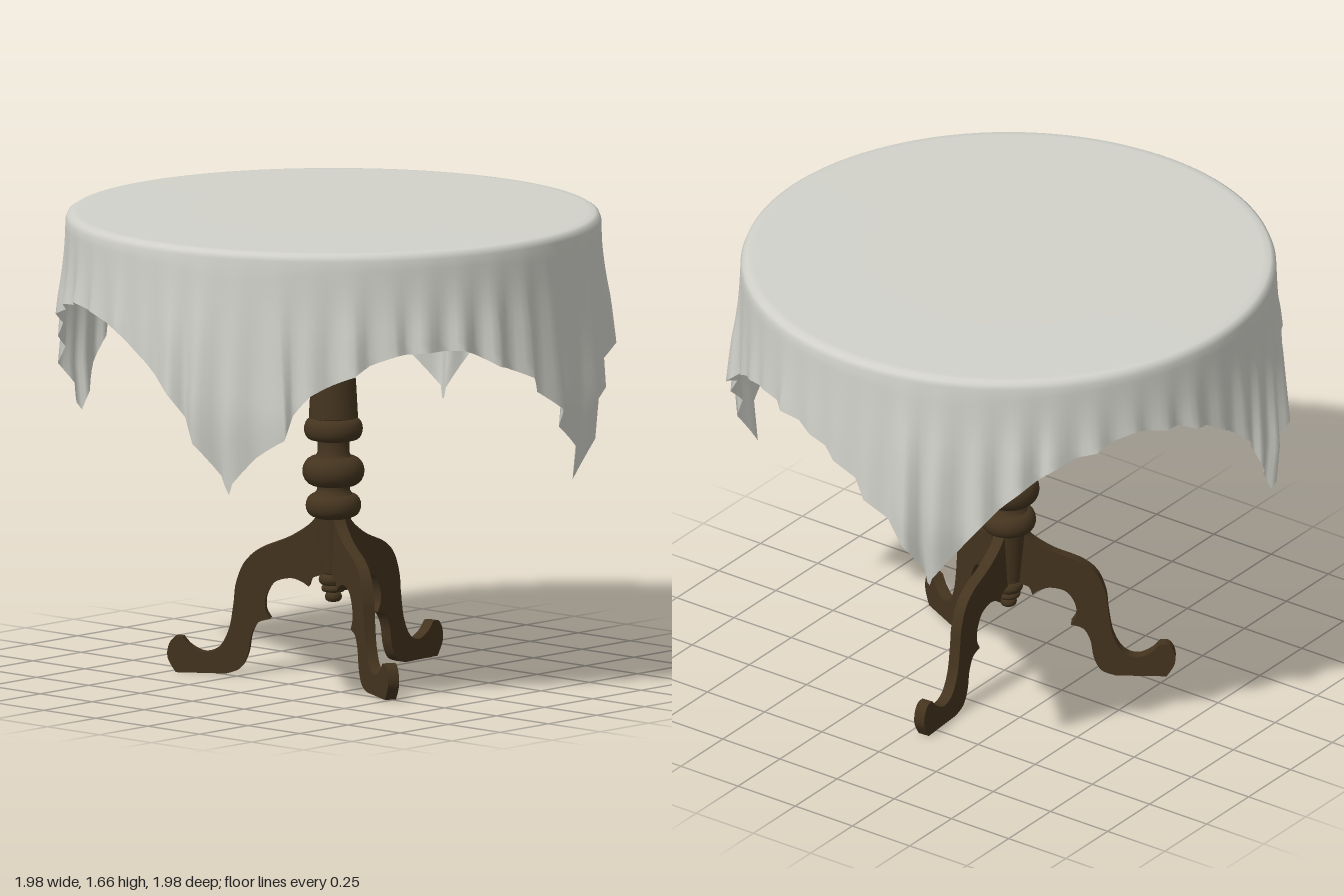
import * as THREE from 'three';
import { mergeVertices, toCreasedNormals } from 'three/addons/utils/BufferGeometryUtils.js';

const CX = -0.013, CZ = 0.005;   // axis of the table
const R = 0.945, TOP = 1.662;    // cloth radius and height
const rad = THREE.MathUtils.degToRad;

function seeded(seed) {
  return () => {
    seed = (seed * 16807) % 2147483647;
    return seed / 2147483647;
  };
}

// Corners of the square cloth: angle, distance from the axis laid flat, rise of the following edge
const corners = [[-18, 1.84, 0.025], [69.5, 1.83, 0.035], [159, 1.74, 0.03], [250, 1.78, 0], [342, 1.84, 0]]
  .map(([a, l, rise]) => [rad(a), l, rise]);

// How far the cloth hangs below the rim at an angle
function hang(a) {
  let k = 0;
  while (k < 3 && a > corners[k + 1][0]) k++;
  const [a0, l0, rise] = corners[k], [a1, l1] = corners[k + 1];
  const reach = l0 * l1 * Math.sin(a1 - a0) / (l0 * Math.sin(a - a0) + l1 * Math.sin(a1 - a));
  const t = (a - a0) / (a1 - a0);
  return reach - R - rise * Math.sin(Math.PI * t) ** 2;
}

function clothGeometry() {
  const pleats = 44, per = 6, cols = pleats * per, skirtRows = 10;
  const rnd = seeded(77);
  const pleat = Array.from({ length: pleats }, () => ({
    amp: 0.3 + 0.7 * rnd(), lean: rnd() - 0.5, dip: (rnd() - 0.5) * 0.03,
  }));
  const flat = [[0, TOP], [0.5, TOP], [0.9, TOP], [0.925, TOP - 0.002], [0.938, TOP - 0.01], [R, TOP - 0.028]];
  const rows = flat.length + skirtRows;
  const pos = [], index = [];
  for (let j = 0; j < rows; j++) {
    for (let i = 0; i < cols; i++) {
      let a = corners[0][0] + (i / cols) * Math.PI * 2;
      let r, y;
      if (j < flat.length) [r, y] = flat[j];
      else {
        // Sharp pleats that deepen towards the hem; the corner tips turn back in
        const p = pleat[Math.floor(i / per)], f = (i % per) / per;
        const bump = 1 - Math.abs(2 * f - 1);
        const v = (j - flat.length + 1) / skirtRows;
        const d = 0.028 + (hang(a) - 0.028 + p.dip * bump) * v;
        const e = Math.min(d, 0.6);
        r = R + e * (0.02 + 0.105 * p.amp * bump * Math.min(1, d / 0.3)) - 0.09 * Math.max(0, d - 0.6);
        a += p.lean * bump * e * 0.16;
        y = TOP - d;
      }
      pos.push(CX + r * Math.cos(a), y, CZ + r * Math.sin(a));
      if (j < rows - 1) {
        const n = (i + 1) % cols, p0 = j * cols, p1 = p0 + cols;
        if (j > 0) index.push(p0 + i, p0 + n, p1 + i);
        index.push(p0 + n, p1 + n, p1 + i);
      }
    }
  }
  const g = new THREE.BufferGeometry();
  g.setAttribute('position', new THREE.Float32BufferAttribute(pos, 3));
  g.setIndex(index);
  const merged = mergeVertices(g, 1e-5);
  merged.computeVertexNormals();
  return merged;
}

// Turned column, from the bottom finial to the table top
function columnGeometry() {
  const pts = [];
  const add = (r, y) => pts.push(new THREE.Vector2(r, y));
  const bead = (neck, r, y0, y1) => {
    for (let i = 0; i <= 10; i++) {
      const t = (i / 10) * Math.PI;
      add(neck + (r - neck) * Math.sin(t), (y0 + y1) / 2 - Math.cos(t) * (y1 - y0) / 2);
    }
  };
  add(0, 0.262);
  bead(0.015, 0.03, 0.265, 0.3);
  bead(0.03, 0.043, 0.3, 0.325);
  bead(0.036, 0.052, 0.325, 0.365);
  add(0.045, 0.37);
  add(0.062, 0.565);
  bead(0.068, 0.098, 0.57, 0.65);
  add(0.058, 0.665);
  add(0.058, 0.68);
  bead(0.064, 0.11, 0.68, 0.785);
  add(0.056, 0.8);
  add(0.056, 0.84);
  bead(0.078, 0.104, 0.845, 0.922);
  add(0.087, 0.925);
  add(0.08, 1.05);
  add(0.066, 1.2);
  bead(0.066, 0.072, 1.2, 1.23);
  add(0.06, 1.32);
  bead(0.06, 0.117, 1.33, 1.47);
  bead(0.058, 0.068, 1.475, 1.51);
  add(0.06, 1.55);
  return toCreasedNormals(new THREE.LatheGeometry(pts, 32), rad(35));
}

// Scrolled leg in profile: x is the distance from the axis
function legGeometry() {
  const v = (list) => list.map(([x, y]) => new THREE.Vector2(x, y));
  const s = new THREE.Shape();
  s.moveTo(0.02, 0.59);
  s.lineTo(0.055, 0.575);
  s.splineThru(v([[0.09, 0.535], [0.16, 0.49], [0.26, 0.448], [0.315, 0.4], [0.345, 0.325], [0.354, 0.25],
    [0.37, 0.16], [0.405, 0.095], [0.455, 0.074], [0.505, 0.095], [0.535, 0.127]]));
  s.splineThru(v([[0.565, 0.125], [0.586, 0.095], [0.588, 0.05], [0.56, 0]]));
  s.lineTo(0.38, 0);
  s.splineThru(v([[0.33, 0.02], [0.303, 0.07], [0.29, 0.14], [0.265, 0.185], [0.222, 0.2]]));
  s.splineThru(v([[0.24, 0.235], [0.236, 0.285], [0.205, 0.332], [0.15, 0.347], [0.11, 0.335], [0.085, 0.318]]));
  s.splineThru(v([[0.07, 0.35], [0.02, 0.365]]));
  const g = new THREE.ExtrudeGeometry(s, { depth: 0.042, bevelEnabled: false, curveSegments: 30 });
  g.translate(0, 0, -0.021);
  return toCreasedNormals(g, rad(30));
}

export function createModel() {
  const model = new THREE.Group();
  model.name = 'clothedPedestalTable';
  const linen = new THREE.MeshStandardMaterial({ color: 0xd2d2cb, side: THREE.DoubleSide });
  linen.name = 'grey linen';
  const wood = new THREE.MeshStandardMaterial({ color: 0x44341f });
  wood.name = 'dark wood';

  const part = (name, geometry, material, x = 0, y = 0, z = 0) => {
    const m = new THREE.Mesh(geometry, material);
    m.name = name;
    m.position.set(x, y, z);
    model.add(m);
    return m;
  };

  part('tablecloth', clothGeometry(), linen);
  part('tableTop', new THREE.CylinderGeometry(0.928, 0.928, 0.11, 96), wood, CX, 1.592, CZ);
  part('column', columnGeometry(), wood, CX, 0, CZ);

  // Three legs, evenly spread
  const leg = legGeometry();
  ['leftLeg', 'rightLeg', 'backLeg'].forEach((name, i) => {
    part(name, leg, wood, CX, 0, CZ).rotation.y = -rad(26 + 120 * i);
  });
  return model;
}
